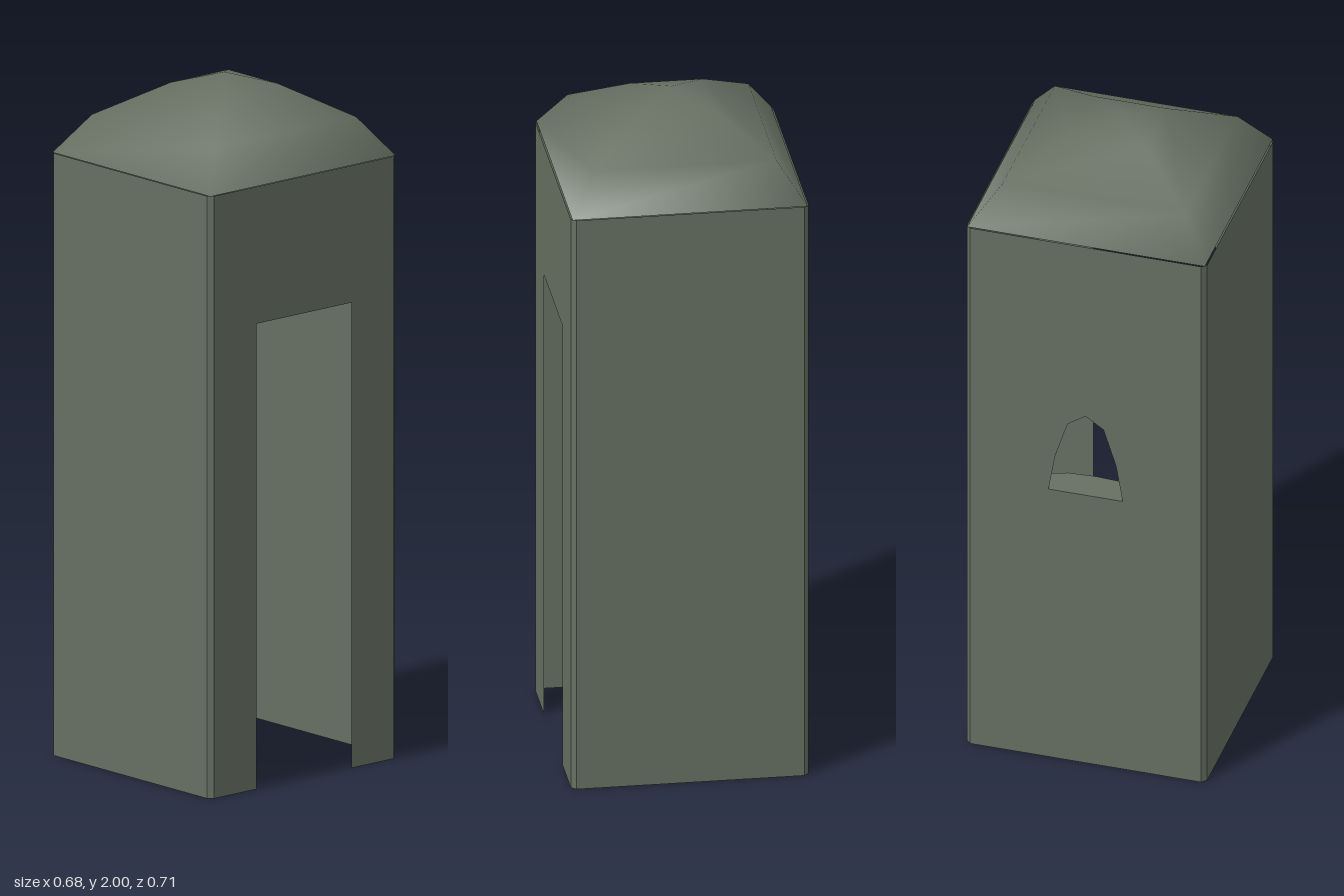
import * as THREE from 'three';

const HX = 0.34, HZ = 0.355, EAVES = 1.76, CHAMFER = 0.014;

const material = new THREE.MeshStandardMaterial({ color: 0x667062, side: THREE.DoubleSide });

function polygon(points, Type = THREE.Shape) {
  return new Type(points.map(([x, y]) => new THREE.Vector2(x, y)));
}

function addMesh(group, name, geometry) {
  const mesh = new THREE.Mesh(geometry, material);
  mesh.name = name;
  group.add(mesh);
  return mesh;
}

// Thin wall panel facing the given angle, at a distance from the centre
function addWall(group, name, shape, angle, distance) {
  const wall = addMesh(group, name, new THREE.ShapeGeometry(shape));
  wall.rotation.y = angle;
  wall.position.set(Math.sin(angle) * distance, 0, Math.cos(angle) * distance);
}

const rectangle = (w) => polygon([[-w, 0], [w, 0], [w, EAVES], [-w, EAVES]]);

// Domed roof: shrinking rectangular rings closed by an apex, smoothly shaded
function roofGeometry() {
  const rings = [[1, EAVES], [0.77, 1.872], [0.31, 1.968]];
  const positions = [], index = [];
  for (const [s, y] of rings) {
    for (const [sx, sz] of [[-1, 1], [1, 1], [1, -1], [-1, -1]]) {
      positions.push(sx * s * (HX - 0.004), y, sz * s * (HZ - 0.004));
    }
  }
  positions.push(0, 2, 0);
  for (let r = 0; r < rings.length; r++) {
    for (let i = 0; i < 4; i++) {
      const a = r * 4 + i, b = r * 4 + (i + 1) % 4;
      if (r === rings.length - 1) index.push(a, b, 12);
      else index.push(a, b, b + 4, a, b + 4, a + 4);
    }
  }
  const geometry = new THREE.BufferGeometry();
  geometry.setAttribute('position', new THREE.Float32BufferAttribute(positions, 3));
  geometry.setIndex(index);
  geometry.computeVertexNormals();
  return geometry;
}

export function createModel() {
  const group = new THREE.Group();
  group.name = 'sentryBox';
  const wx = HX - CHAMFER, wz = HZ - CHAMFER;

  // Plain front and back walls
  addWall(group, 'frontWall', rectangle(wx), 0, HZ);
  addWall(group, 'backWall', rectangle(wx), Math.PI, HZ);

  // Side wall with the open doorway
  addWall(group, 'doorWall', polygon([
    [-wz, 0], [-0.18, 0], [-0.18, 1.36], [0.18, 1.36],
    [0.18, 0], [wz, 0], [wz, EAVES], [-wz, EAVES],
  ]), Math.PI / 2, HX);

  // Opposite wall with the arched window
  const windowWall = rectangle(wz);
  windowWall.holes.push(polygon([
    [-0.11, 0.91], [-0.09, 1.03], [-0.053, 1.147], [0, 1.183],
    [0.053, 1.147], [0.09, 1.03], [0.11, 0.91],
  ], THREE.Path));
  addWall(group, 'windowWall', windowWall, -Math.PI / 2, HX);

  // Narrow chamfer strips at the four corners
  for (const sx of [-1, 1]) {
    for (const sz of [-1, 1]) {
      const strip = addMesh(group, 'cornerChamfer',
        new THREE.PlaneGeometry(CHAMFER * Math.SQRT2, EAVES));
      strip.position.set(sx * (HX - CHAMFER / 2), EAVES / 2, sz * (HZ - CHAMFER / 2));
      strip.rotation.y = Math.atan2(sx, sz);
    }
  }

  // Thin bowed shelf inside the window
  const shelf = addMesh(group, 'windowShelf', new THREE.ExtrudeGeometry(polygon([
    [0, -0.145], [0.075, -0.145], [0.095, -0.08], [0.1, 0],
    [0.095, 0.08], [0.075, 0.145], [0, 0.145],
  ]), { depth: 0.01, bevelEnabled: false }));
  shelf.rotation.x = -Math.PI / 2;
  shelf.position.set(-HX + 0.001, 0.903, 0);

  addMesh(group, 'roof', roofGeometry());
  return group;
}
